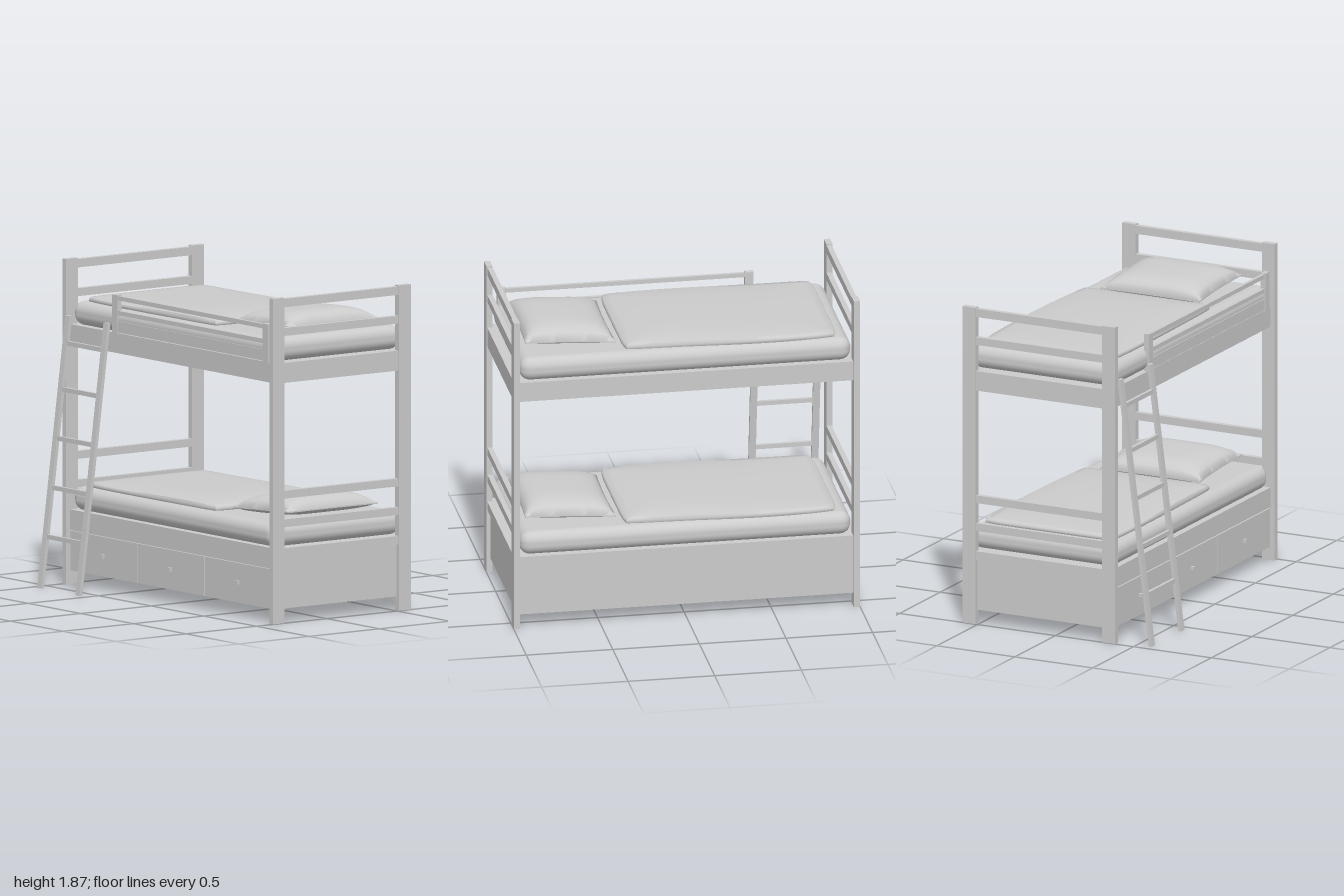
import * as THREE from 'three';
import { mergeVertices, toCreasedNormals } from 'three/addons/utils/BufferGeometryUtils.js';
import { RoundedBoxGeometry } from 'three/addons/geometries/RoundedBoxGeometry.js';

const material = new THREE.MeshStandardMaterial({ color: 0xcccccc });

function add(parent, name, geometry) {
  const mesh = new THREE.Mesh(geometry, material);
  mesh.name = name;
  parent.add(mesh);
  return mesh;
}

// Box given by its limits on each axis
function block(parent, name, [x0, x1], [y0, y1], [z0, z1]) {
  const mesh = add(parent, name, new THREE.BoxGeometry(Math.abs(x1 - x0), y1 - y0, z1 - z0));
  mesh.position.set((x0 + x1) / 2, (y0 + y1) / 2, (z0 + z1) / 2);
  return mesh;
}

// Soft body: a subdivided box whose vertices are moved by rule(u, t, v), each in -1..1
function softBody(segments, rule) {
  let g = new THREE.BoxGeometry(2, 2, 2, ...segments);
  g.deleteAttribute('uv');
  g.deleteAttribute('normal');
  g = mergeVertices(g);
  const p = g.attributes.position;
  for (let i = 0; i < p.count; i++) p.setXYZ(i, ...rule(p.getX(i), p.getY(i), p.getZ(i)));
  return toCreasedNormals(g, 0.9);
}

// Blanket with a rounded rim, a low crown and slightly wavy long sides
function duvetGeometry() {
  return softBody([28, 4, 20], (u, t, v) => {
    const rim = Math.max(Math.abs(u), Math.abs(v));
    const inset = 1 - 0.014 * t * t - 0.025 * Math.abs(u * v) ** 8;
    const x = -0.265 + 0.615 * u * inset;
    const wave = 0.012 * Math.sin(4.2 * x + 3.6) * Math.abs(v);
    const z = -0.112 + 0.418 * v * inset + (v < 0 ? -wave : wave * 0.3);
    const crown = 0.026 * (1 - rim ** 6) * (0.75 + 0.25 * u) * (1 - 0.35 * v * v)
      + 0.004 * Math.sin(5 * x + 1.5);
    return [x, 0.577 + 0.017 * t + (t > 0 ? crown * t : 0), z];
  });
}

// Pillow with pinched corners, a thin seam and a tilt towards the head end
function pillowGeometry() {
  return softBody([20, 4, 20], (u, t, v) => {
    const puff = Math.pow((1 - u ** 4) * (1 - v ** 4), 0.6);
    const x = 0.643 + 0.262 * u * (1 - 0.035 * (1 - v * v));
    const z = -0.115 + 0.318 * v * (1 - 0.035 * (1 - u * u));
    const seam = 0.601 + 0.015 * u;
    return [x, seam + t * (0.004 + puff * (t > 0 ? 0.076 : 0.03)), z];
  });
}

// Mattress, duvet and pillow shared by both bunks
function bedding(name, lift) {
  const set = new THREE.Group();
  set.name = name;
  const mattress = add(set, 'mattress', new RoundedBoxGeometry(1.91, 0.138, 0.93, 5, 0.06));
  mattress.position.set(0, 0.498, -0.11);
  add(set, 'duvet', duvetGeometry());
  add(set, 'pillow', pillowGeometry());
  set.position.y = lift;
  return set;
}

export function createModel() {
  const model = new THREE.Group();
  model.name = 'bunkBed';
  const bedZ = [-0.575, 0.355];

  // End frames: posts, rails and panels
  for (const s of [-1, 1]) {
    const end = new THREE.Group();
    end.name = s > 0 ? 'headFrame' : 'footFrame';
    model.add(end);
    const postX = [s * 0.964, s], railX = [s * 0.964, s * 0.994], railZ = [-0.515, 0.305];
    block(end, 'frontPost', postX, [0, 1.87], [0.3, 0.382]);
    block(end, 'backPost', postX, [0, 1.87], [-0.597, -0.512]);
    for (const y of [[0.38, 0.43], [0.55, 0.595], [0.715, 0.76], [1.65, 1.695], [1.815, 1.863]])
      block(end, 'endRail', railX, y, railZ);
    block(end, 'upperEndBoard', railX, [1.38, 1.495], railZ);
    block(end, 'lowerEndPanel', [s * 0.95, s * 0.975], [0.08, 0.385], railZ);
  }

  // Lower base with three drawers
  block(model, 'lowerBase', [-0.965, 0.965], [0.08, 0.43], [-0.575, 0.343]);
  block(model, 'lowerFrontBoard', [-0.965, 0.965], [0.314, 0.43], [0.34, 0.355]);
  const edges = [-0.962, -0.327, 0.313, 0.962];
  for (let i = 0; i < 3; i++) {
    block(model, 'drawerFront', [edges[i] + 0.003, edges[i + 1] - 0.003], [0.08, 0.308], [0.34, 0.355]);
    const c = (edges[i] + edges[i + 1]) / 2;
    block(model, 'drawerKnob', [c - 0.01, c + 0.01], [0.187, 0.207], [0.35, 0.372]);
  }

  // Upper base
  block(model, 'upperBase', [-0.965, 0.965], [1.38, 1.495], bedZ);

  model.add(bedding('lowerBedding', 0), bedding('upperBedding', 1.065));

  // Guard rail
  const guard = new THREE.Group();
  guard.name = 'guardRail';
  model.add(guard);
  for (const x of [-0.55, 0.88]) block(guard, 'guardPost', [x, x + 0.05], [1.49, 1.715], [0.335, 0.366]);
  for (const y of [[1.5, 1.565], [1.6, 1.625], [1.685, 1.71]])
    block(guard, 'guardBar', [-0.505, 0.885], y, [0.34, 0.36]);

  // Leaning ladder: upright boxes sheared towards the bed
  const ladder = new THREE.Group();
  ladder.name = 'ladder';
  model.add(ladder);
  const lean = (y) => 0.585 - 0.2 * y / 1.55;
  for (const x of [-0.936, -0.573]) {
    const g = new THREE.BoxGeometry(0.04, 1.55, 0.02).translate(x, 0.775, 0);
    const p = g.attributes.position;
    for (let i = 0; i < p.count; i++) p.setZ(i, p.getZ(i) + lean(p.getY(i)));
    g.computeVertexNormals();
    add(ladder, 'ladderStile', g);
  }
  for (const y of [0.295, 0.575, 0.855, 1.133, 1.395])
    block(ladder, 'ladderRung', [-0.92, -0.588], [y - 0.013, y + 0.013], [lean(y) - 0.009, lean(y) + 0.009]);

  return model;
}
